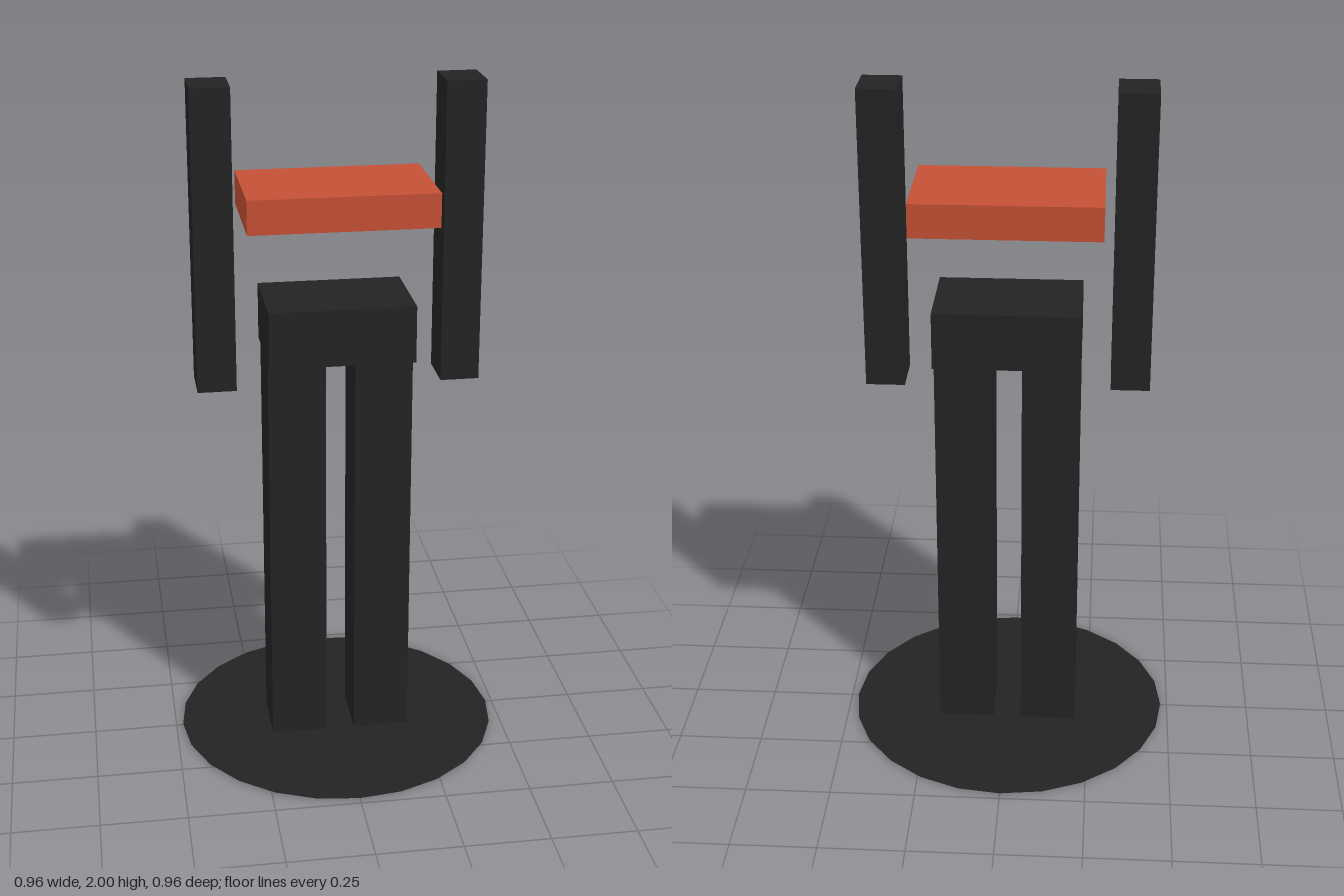
import * as THREE from 'three';

export function createModel() {
  const model = new THREE.Group();
  model.name = 'standingFigure';

  const black = new THREE.MeshStandardMaterial({ color: 0x232323 });
  black.name = 'charcoal';
  const red = new THREE.MeshStandardMaterial({ color: 0xc45035 });
  red.name = 'brickRed';
  const discBlack = black.clone();
  discBlack.side = THREE.DoubleSide;

  // Axis-aligned box between two heights
  function block(name, width, depth, bottom, top, x, material) {
    const mesh = new THREE.Mesh(new THREE.BoxGeometry(width, top - bottom, depth), material);
    mesh.name = name;
    mesh.position.set(x, (bottom + top) / 2, 0);
    model.add(mesh);
  }

  // Paper-thin round base
  const base = new THREE.Mesh(new THREE.CircleGeometry(0.48, 24), discBlack);
  base.name = 'baseDisc';
  base.rotation.x = -Math.PI / 2;
  base.position.y = 0.003;
  model.add(base);

  // Mirrored legs and arms
  for (const [side, s] of [['left', 1], ['right', -1]]) {
    block(side + 'Leg', 0.167, 0.184, 0, 1.215, s * 0.126, black);
    block(side + 'Arm', 0.112, 0.14, 1.13, 2, s * 0.352, black);
  }

  // Hips and the floating chest slab
  block('hips', 0.42, 0.28, 1.215, 1.382, 0, black);
  block('chestSlab', 0.536, 0.336, 1.615, 1.713, 0, red);

  return model;
}
